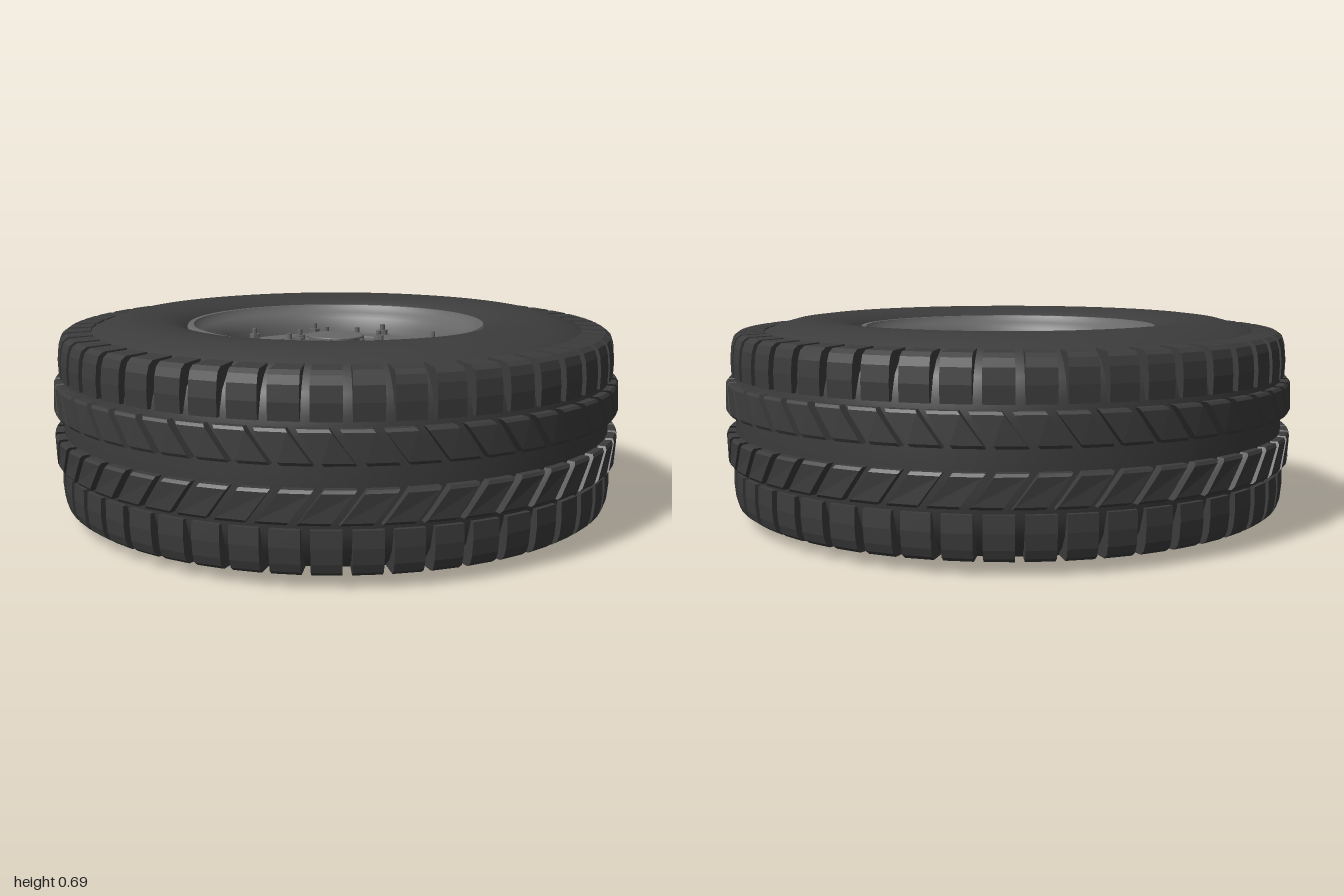
import * as THREE from 'three';
import { mergeGeometries, toCreasedNormals } from 'three/addons/utils/BufferGeometryUtils.js';

const H = 0.69; // wheel lies flat, axis along y
const COUNT = 50; // tread blocks per row
const PITCH = (Math.PI * 2) / COUNT;

const rubber = new THREE.MeshStandardMaterial({ color: 0x3c3c3c });
const steel = new THREE.MeshStandardMaterial({ color: 0x686868 });
const green = new THREE.MeshStandardMaterial({ color: 0x10c020 });

function addMesh(parent, name, geometry, material) {
  const mesh = new THREE.Mesh(geometry, material);
  mesh.name = name;
  parent.add(mesh);
  return mesh;
}

// Revolved profile of [radius, y] points, with sharp edges kept
function lathe(points, crease = 0.5) {
  const g = new THREE.LatheGeometry(points.map(([r, y]) => new THREE.Vector2(r, y)), 100);
  return toCreasedNormals(g, crease);
}

// Tread block: counter-clockwise [radius, y] section swept between two angles that may vary with y
function treadBlock(section, angle, halfWidth, shift) {
  const at = ([r, y], side) => {
    const a = angle + side * halfWidth + shift(y);
    return [r * Math.sin(a), y, r * Math.cos(a)];
  };
  const lo = section.map((p) => at(p, -1));
  const hi = section.map((p) => at(p, 1));
  const out = [];
  const n = section.length;
  for (let i = 0; i < n; i++) {
    const j = (i + 1) % n;
    out.push(...lo[i], ...hi[i], ...hi[j], ...lo[i], ...hi[j], ...lo[j]);
    if (i > 0 && i < n - 1) {
      out.push(...lo[0], ...lo[i], ...lo[j]);
      out.push(...hi[0], ...hi[j], ...hi[i]);
    }
  }
  const g = new THREE.BufferGeometry();
  g.setAttribute('position', new THREE.Float32BufferAttribute(out, 3));
  g.computeVertexNormals();
  return g;
}

function treadRow(section, halfWidth, shift) {
  const blocks = [];
  for (let i = 0; i < COUNT; i++) {
    blocks.push(treadBlock(section, (i + 0.5) * PITCH, halfWidth, shift));
  }
  return mergeGeometries(blocks);
}

const mirrored = (section) => section.map(([r, y]) => [r, H - y]).reverse();

function createTyre() {
  const tyre = new THREE.Group();
  tyre.name = 'tyre';

  // Carcass: half profile from bead to tread centre, mirrored upward
  const half = [
    [0.52, 0.05], [0.545, 0.03], [0.58, 0.014], [0.64, 0.003], [0.71, 0], [0.76, 0.006],
    [0.81, 0.02], [0.86, 0.04], [0.905, 0.068], [0.94, 0.11], [0.96, 0.17], [0.968, 0.23],
  ];
  addMesh(tyre, 'carcass', lathe([...half, ...mirrored(half)], 0.8), rubber);

  // Upper row sections; lower rows are mirrored
  const shoulder = [
    [0.93, 0.505], [0.978, 0.505], [0.98, 0.56], [0.975, 0.61], [0.966, 0.637],
    [0.948, 0.65], [0.865, 0.653], [0.86, 0.63],
  ];
  const centre = [[0.95, 0.38], [0.994, 0.38], [1, 0.39], [0.997, 0.478], [0.99, 0.487], [0.95, 0.487]];
  const straight = () => 0;
  const chevron = (y) => -0.75 * (Math.abs(y - H / 2) - 0.09);
  [['upper', (s) => s], ['lower', mirrored]].forEach(([side, map]) => {
    addMesh(tyre, side + 'ShoulderBlocks', treadRow(map(shoulder), PITCH * 0.38, straight), rubber);
    addMesh(tyre, side + 'ChevronBlocks', treadRow(map(centre), PITCH * 0.38, chevron), rubber);
  });
  return tyre;
}

// Ring of nuts with studs
function boltRing(name, radius, y) {
  const ring = new THREE.Group();
  ring.name = name;
  const washer = new THREE.CylinderGeometry(0.025, 0.025, 0.006, 16).translate(0, 0.003, 0);
  const nut = toCreasedNormals(new THREE.CylinderGeometry(0.019, 0.019, 0.02, 6).translate(0, 0.014, 0), 0.5);
  const stud = new THREE.CylinderGeometry(0.009, 0.009, 0.045, 10).translate(0, 0.0225, 0);
  for (let i = 0; i < 9; i++) {
    const bolt = new THREE.Group();
    bolt.name = 'bolt';
    addMesh(bolt, 'washer', washer, steel);
    addMesh(bolt, 'nut', nut, steel);
    addMesh(bolt, 'stud', stud, steel);
    const a = Math.PI + (i * Math.PI * 2) / 9;
    bolt.position.set(radius * Math.sin(a), y, radius * Math.cos(a));
    bolt.rotation.y = a;
    ring.add(bolt);
  }
  return ring;
}

function createRim() {
  const rim = new THREE.Group();
  rim.name = 'rim';

  // Upper dish with lip, bolt flange, groove and hub cap
  addMesh(rim, 'outerDish', lathe([
    [0.53, 0.6], [0.53, 0.655], [0.525, 0.662], [0.508, 0.662], [0.502, 0.65], [0.485, 0.635],
    [0.465, 0.615], [0.452, 0.585], [0.447, 0.555], [0.43, 0.55], [0.425, 0.56], [0.338, 0.56],
    [0.328, 0.575], [0.256, 0.575], [0.25, 0.555], [0.24, 0.555], [0.232, 0.575],
    [0.1, 0.575], [0.1, 0.612], [0.097, 0.615], [0, 0.615],
  ]), steel);

  // Underside: bore, recessed centre and boss
  addMesh(rim, 'innerDish', lathe([
    [0, 0.115], [0.1, 0.115], [0.1, 0.19], [0.25, 0.19], [0.25, 0.14], [0.41, 0.14], [0.435, 0.132],
    [0.46, 0.112], [0.485, 0.08], [0.5, 0.05], [0.508, 0.037], [0.525, 0.035], [0.53, 0.04], [0.53, 0.1],
  ]), green);

  rim.add(boltRing('outerBolts', 0.39, 0.56), boltRing('innerBolts', 0.168, 0.575));
  return rim;
}

export function createModel() {
  const wheel = new THREE.Group();
  wheel.name = 'wheel';
  wheel.add(createTyre(), createRim());
  return wheel;
}
